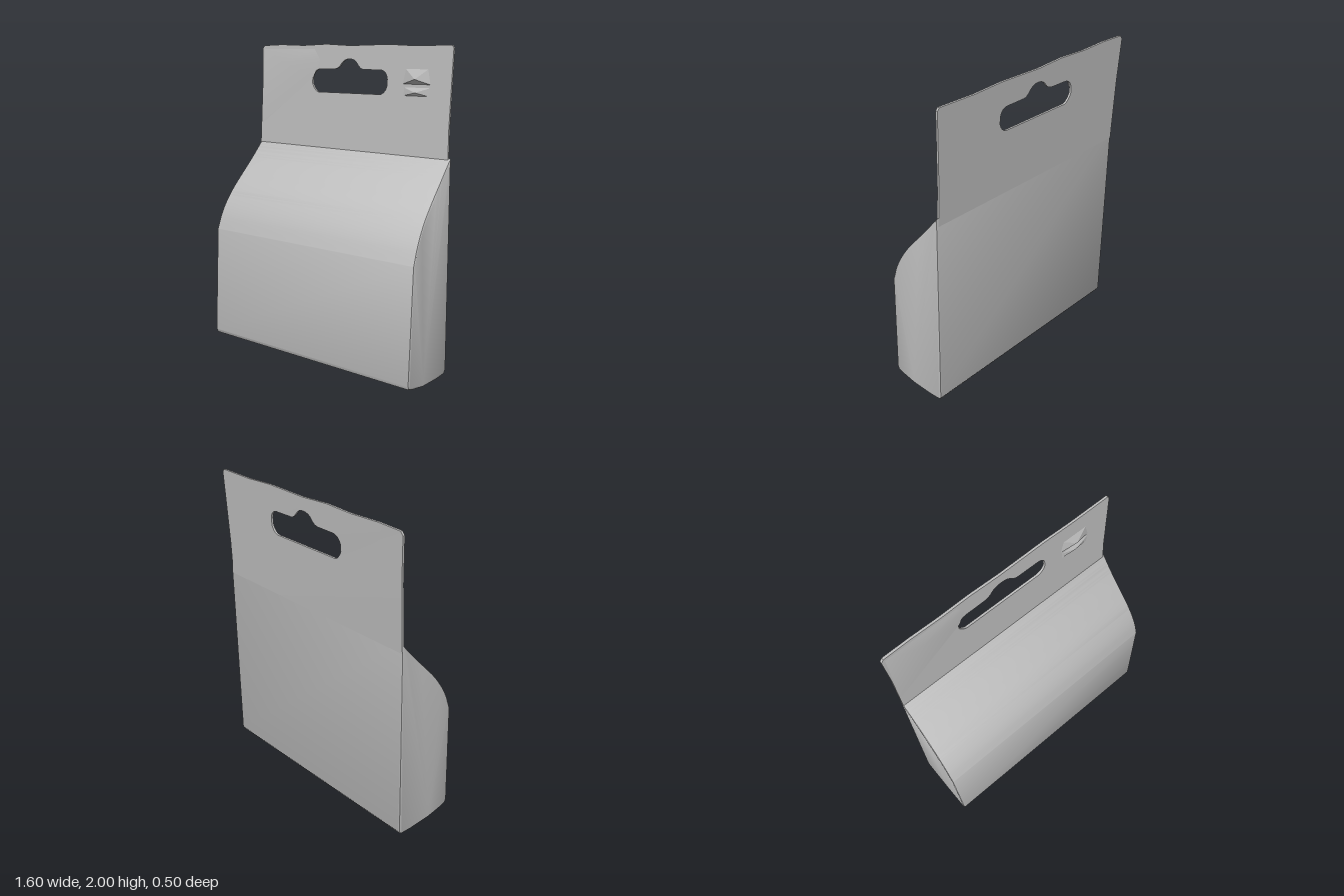
import * as THREE from 'three';
import { toCreasedNormals } from 'three/addons/utils/BufferGeometryUtils.js';

const lerp = THREE.MathUtils.lerp;

// Move every vertex of a geometry by a rule
function reshape(geometry, rule) {
  const p = geometry.attributes.position;
  const v = new THREE.Vector3();
  for (let i = 0; i < p.count; i++) {
    rule(v.fromBufferAttribute(p, i));
    p.setXYZ(i, v.x, v.y, v.z);
  }
  return geometry;
}

// Depth of the header's front face, which leans back towards the top
const headerZ = (y) => lerp(-0.19, -0.225, (y - 1.3) / 0.7);

// The pouch is slightly deeper on one side than on the other
const skew = (v) => { v.z *= 1 - 0.05 * v.x; };

export function createModel() {
  const model = new THREE.Group();
  const foil = new THREE.MeshStandardMaterial({ color: 0xc0c0c0, side: THREE.DoubleSide });
  foil.name = 'grey foil';

  function add(name, geometry, crease = 0.6) {
    const mesh = new THREE.Mesh(toCreasedNormals(geometry, crease), foil);
    mesh.name = name;
    model.add(mesh);
  }

  // Filled pouch: side profile (z, y) swept across the width
  const profile = new THREE.Shape();
  profile.moveTo(-0.165, 0.012);
  profile.lineTo(-0.08, 0.003);
  profile.lineTo(0.08, 0.003);
  profile.lineTo(0.2, 0.02);
  profile.lineTo(0.235, 0.032);
  profile.lineTo(0.245, 0.055);
  profile.lineTo(0.211, 0.76);
  profile.splineThru([
    [0.175, 0.86], [0.13, 0.945], [0.07, 1.03], [0, 1.11], [-0.1, 1.22], [-0.19, 1.325],
  ].map(([z, y]) => new THREE.Vector2(z, y)));
  profile.lineTo(-0.203, 1.335);
  profile.lineTo(-0.18, 0.035);
  profile.closePath();

  const bevel = 0.012;
  const pouch = new THREE.ExtrudeGeometry(profile, {
    depth: 1.6 - 2 * bevel, curveSegments: 14,
    bevelEnabled: true, bevelSize: bevel, bevelThickness: bevel, bevelOffset: -bevel, bevelSegments: 2,
  });
  pouch.translate(0, 0, -0.8 + bevel).rotateY(-Math.PI / 2);
  reshape(pouch, (v) => {
    // sides narrow a little above the shoulder
    v.x *= lerp(1, 0.978, THREE.MathUtils.smoothstep(v.y, 0.75, 1.3));
    skew(v);
  });
  add('pouch', pouch);

  // Flat header with slightly uneven edges and a hang hole
  const header = new THREE.Shape([
    [-0.78, 1.28], [0.768, 1.28], [0.762, 1.5], [0.765, 1.75], [0.768, 1.975], [0.755, 1.992],
    [0.5, 1.988], [0.3, 1.997], [0, 1.99], [-0.2, 2], [-0.4, 1.992], [-0.6, 1.998],
    [-0.765, 1.992], [-0.782, 1.97], [-0.775, 1.7],
  ].map(([x, y]) => new THREE.Vector2(x, y)));

  const hole = new THREE.Path();
  hole.moveTo(-0.26, 1.69);
  hole.quadraticCurveTo(-0.29, 1.7, -0.31, 1.745);
  hole.lineTo(-0.31, 1.785);
  hole.quadraticCurveTo(-0.295, 1.835, -0.25, 1.84);
  hole.lineTo(-0.12, 1.842);
  hole.bezierCurveTo(-0.06, 1.85, -0.08, 1.905, 0, 1.907);
  hole.bezierCurveTo(0.07, 1.905, 0.06, 1.85, 0.11, 1.842);
  hole.lineTo(0.255, 1.84);
  hole.quadraticCurveTo(0.295, 1.835, 0.302, 1.785);
  hole.lineTo(0.302, 1.745);
  hole.quadraticCurveTo(0.29, 1.7, 0.25, 1.69);
  hole.closePath();
  header.holes.push(hole);

  const panel = new THREE.ExtrudeGeometry(header, { depth: 0.014, bevelEnabled: false, curveSegments: 8 });
  reshape(panel, (v) => {
    v.z += headerZ(v.y) - 0.014;
    skew(v);
  });
  add('header', panel);

  // Crumples: low pyramids lying on the header's front face
  function crumple(name, rim, apex, height) {
    const points = [];
    const at = ([x, y], lift) => {
      const v = new THREE.Vector3(x, y, headerZ(y) + lift);
      skew(v);
      return v.toArray();
    };
    rim.forEach((corner, i) => {
      points.push(...at(corner, 0.0005), ...at(rim[(i + 1) % rim.length], 0.0005), ...at(apex, height));
    });
    const g = new THREE.BufferGeometry();
    g.setAttribute('position', new THREE.Float32BufferAttribute(points, 3));
    add(name, g, 0.3);
  }
  crumple('cornerFold', [[-0.77, 1.45], [-0.3, 1.79], [-0.25, 1.9], [-0.3, 1.97], [-0.76, 1.97]], [-0.56, 1.88], 0.015);
  crumple('upperDent', [[0.42, 1.76], [0.62, 1.76], [0.6, 1.85], [0.44, 1.85]], [0.52, 1.79], 0.025);
  crumple('lowerDent', [[0.43, 1.69], [0.61, 1.69], [0.62, 1.74], [0.43, 1.74]], [0.52, 1.71], 0.015);

  return model;
}
